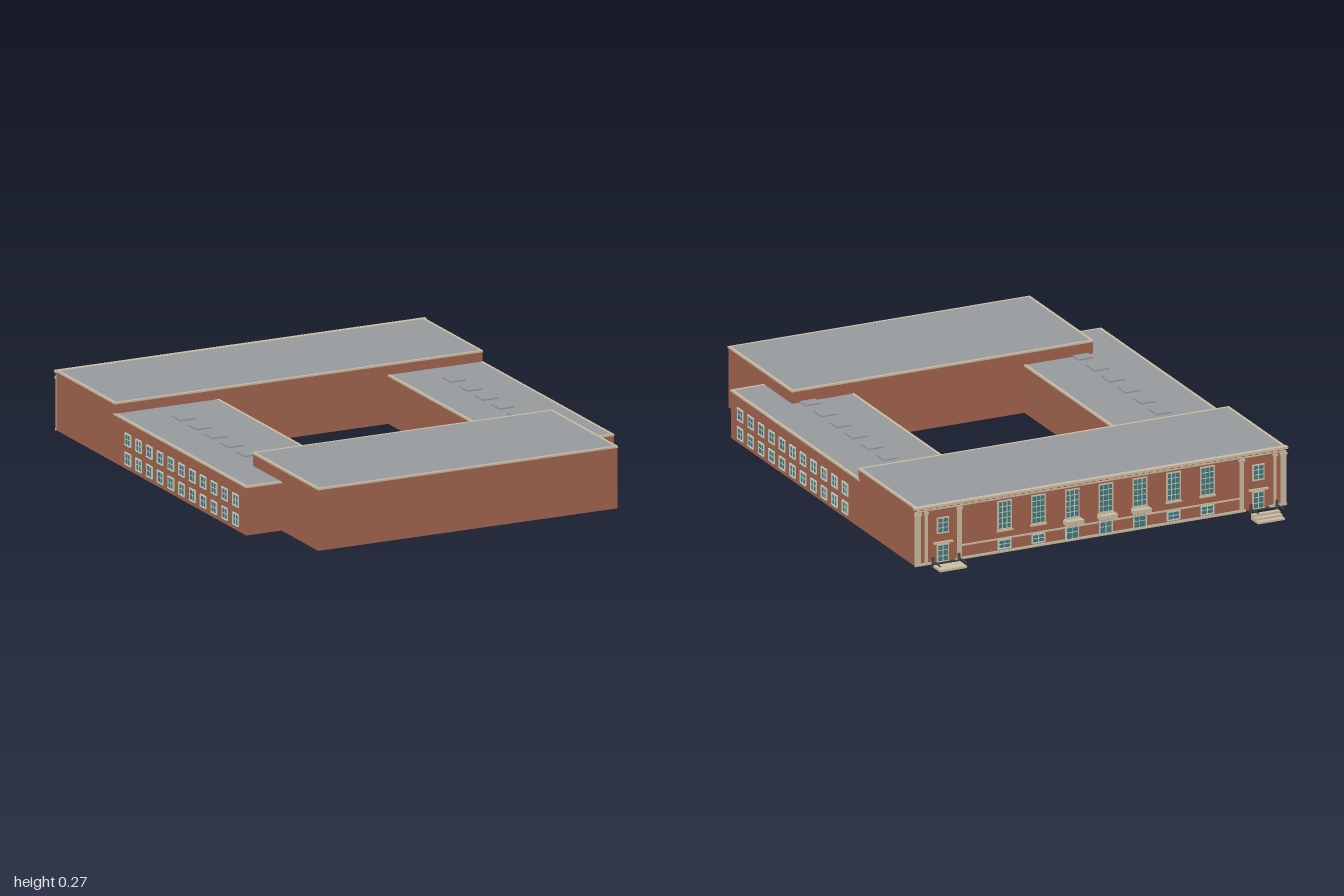
import * as THREE from 'three';

const mat = (name, color) => {
  const m = new THREE.MeshStandardMaterial({ color });
  m.name = name;
  return m;
};

export function createModel() {
  const brick = mat('brick', 0xa2634e);
  const grey = mat('roofGrey', 0x969a9c);
  const stone = mat('stone', 0xc9bba2);
  const frame = mat('windowFrame', 0xc3cfc4);
  const glass = mat('glass', 0x447a7c);
  const dark = mat('darkMetal', 0x4a4540);

  const model = new THREE.Group();
  model.name = 'courtyardBuilding';

  // Box given by its minimum and maximum corners
  const box = (parent, name, m, x0, x1, y0, y1, z0, z1) => {
    const mesh = new THREE.Mesh(new THREE.BoxGeometry(x1 - x0, y1 - y0, z1 - z0), m);
    mesh.position.set((x0 + x1) / 2, (y0 + y1) / 2, (z0 + z1) / 2);
    mesh.name = name;
    parent.add(mesh);
    return mesh;
  };

  // Brick block with a flat roof and a stone coping round its edge
  const block = (name, x0, x1, z0, z1, top) => {
    const g = new THREE.Group();
    g.name = name;
    const c = 0.009, o = 0.002;
    box(g, 'walls', brick, x0, x1, 0.02, top - 0.007, z0, z1);
    box(g, 'roof', grey, x0 + c, x1 - c, top - 0.008, top - 0.001, z0 + c, z1 - c);
    for (const [a, b] of [[z0 - o, z0 + c], [z1 - c, z1 + o]])
      box(g, 'coping', stone, x0 - o, x1 + o, top - 0.007, top, a, b);
    for (const [a, b] of [[x0 - o, x0 + c], [x1 - c, x1 + o]])
      box(g, 'coping', stone, a, b, top - 0.007, top, z0 + c, z1 - c);
    model.add(g);
  };
  block('frontBlock', -0.63, 0.64, 0.45, 0.998, 0.266);
  block('backBlock', -0.78, 0.78, -0.898, -0.41, 0.257);
  block('rightWing', -0.78, -0.34, -0.42, 0.69, 0.214);
  block('leftWing', 0.38, 0.78, -0.42, 0.69, 0.214);

  // Window facing +z with its base at the origin: glass, border and glazing bars
  const makeWindow = (name, w, h, cols, rows, border = frame) => {
    const g = new THREE.Group();
    g.name = name;
    const t = 0.0045, bar = 0.0025;
    box(g, 'pane', glass, -w / 2, w / 2, 0, h, -0.001, 0.002);
    for (const s of [-1, 1])
      box(g, 'jamb', border, s * w / 2 - t / 2, s * w / 2 + t / 2, 0, h, -0.001, 0.005);
    for (const y of [0, h])
      box(g, 'rail', border, -w / 2 - t / 2, w / 2 + t / 2, y - t / 2, y + t / 2, -0.001, 0.006);
    for (let i = 1; i < cols; i++) {
      const x = -w / 2 + (w * i) / cols;
      box(g, 'bar', frame, x - bar / 2, x + bar / 2, 0, h, 0, 0.0035);
    }
    for (let j = 1; j < rows; j++) {
      const y = (h * j) / rows;
      box(g, 'bar', frame, -w / 2, w / 2, y - bar / 2, y + bar / 2, 0, 0.0035);
    }
    return g;
  };

  // Two rows of windows and a line of roof lights along each wing
  for (const s of [-1, 1]) {
    for (let i = 0; i < 11; i++) {
      for (const y of [0.04, 0.116]) {
        const win = makeWindow('sideWindow', 0.044, 0.045, 2, 2);
        win.position.set(s * 0.78, y, 0.605 - i * 0.0902);
        win.rotation.y = s * Math.PI / 2;
        model.add(win);
      }
    }
    for (let i = 0; i < 6; i++) {
      const z = 0.435 - i * 0.135;
      box(model, 'roofLight', grey, s * 0.575 - 0.032, s * 0.575 + 0.032, 0.21, 0.219, z - 0.035, z + 0.035);
    }
  }

  // Decorated street facade on the back
  const facade = new THREE.Group();
  facade.name = 'facade';
  model.add(facade);
  const Z = -0.898;
  const addFacadeWindow = (win, x, y) => {
    win.position.set(x, y, Z);
    win.rotation.y = Math.PI;
    facade.add(win);
  };

  // Cornice, dentils, string course and plinth
  box(facade, 'cornice', stone, -0.787, 0.787, 0.248, 0.257, Z - 0.011, Z + 0.008);
  box(facade, 'frieze', stone, -0.78, 0.78, 0.236, 0.240, Z - 0.004, Z);
  for (let i = 0; i < 52; i++) {
    const x = -0.765 + i * 0.03;
    box(facade, 'dentil', stone, x - 0.006, x + 0.006, 0.241, 0.248, Z - 0.007, Z);
  }
  box(facade, 'stringCourse', stone, -0.59, 0.59, 0.073, 0.079, Z - 0.005, Z);
  for (const [a, b] of [[-0.784, -0.71], [-0.61, 0.61], [0.71, 0.784]])
    box(facade, 'plinth', stone, a, b, 0.02, 0.029, Z - 0.006, Z);

  // Pilasters at the corners and beside the end bays
  for (const s of [-1, 1]) {
    for (const [x, w] of [[0.771, 0.024], [0.735, 0.012], [0.595, 0.018]]) {
      box(facade, 'pilaster', stone, s * x - w / 2, s * x + w / 2, 0.02, 0.24, Z - 0.005, Z);
      box(facade, 'capital', stone, s * x - w / 2 - 0.003, s * x + w / 2 + 0.003, 0.224, 0.232, Z - 0.008, Z);
    }
  }

  // Seven tall bays; the middle three have doors under canopies
  for (let i = 0; i < 7; i++) {
    const x = -0.45 + i * 0.1425;
    const isDoor = i >= 2 && i <= 4;
    addFacadeWindow(makeWindow('tallWindow', 0.056, 0.112, 3, 5, stone), x, 0.114);
    addFacadeWindow(makeWindow(isDoor ? 'entranceDoor' : 'lowerWindow', 0.052, isDoor ? 0.06 : 0.034, 2, 2), x, isDoor ? 0.024 : 0.036);
    box(facade, 'sill', stone, x - 0.034, x + 0.034, 0.105, 0.111, Z - 0.008, Z);
    if (isDoor) box(facade, 'canopy', stone, x - 0.037, x + 0.037, 0.092, 0.108, Z - 0.031, Z);
  }

  // End bays: a small window above a side door with its step
  for (const s of [-1, 1]) {
    const x = s * 0.665;
    addFacadeWindow(makeWindow('endWindow', 0.046, 0.06, 2, 3, stone), x, 0.14);
    addFacadeWindow(makeWindow('sideDoor', 0.046, 0.068, 2, 3, stone), x, 0.024);
    box(facade, 'doorHood', stone, x - 0.04, x + 0.04, 0.098, 0.105, Z - 0.01, Z);
    box(facade, 'doorSill', dark, x - 0.045, x + 0.045, 0.02, 0.024, Z - 0.01, Z);
  }

  // Stepped stair on the right, raised landing on the left
  for (let i = 0; i < 3; i++)
    box(model, 'stairStep', stone, -0.728, -0.615, 0, 0.008 * (3 - i), -0.96 - i * 0.02, -0.94 - i * 0.02);
  box(model, 'landing', stone, 0.612, 0.725, 0.021, 0.03, -1, -0.94);
  for (const [x0, x1] of [[-0.726, -0.617], [0.614, 0.723]]) {
    for (const x of [x0, x1]) {
      box(model, 'railPost', dark, x - 0.004, x + 0.004, 0.02, 0.06, -0.938, -0.93);
      box(model, 'handrail', dark, x - 0.002, x + 0.002, 0.041, 0.045, -0.998, -0.93);
    }
  }

  return model;
}
